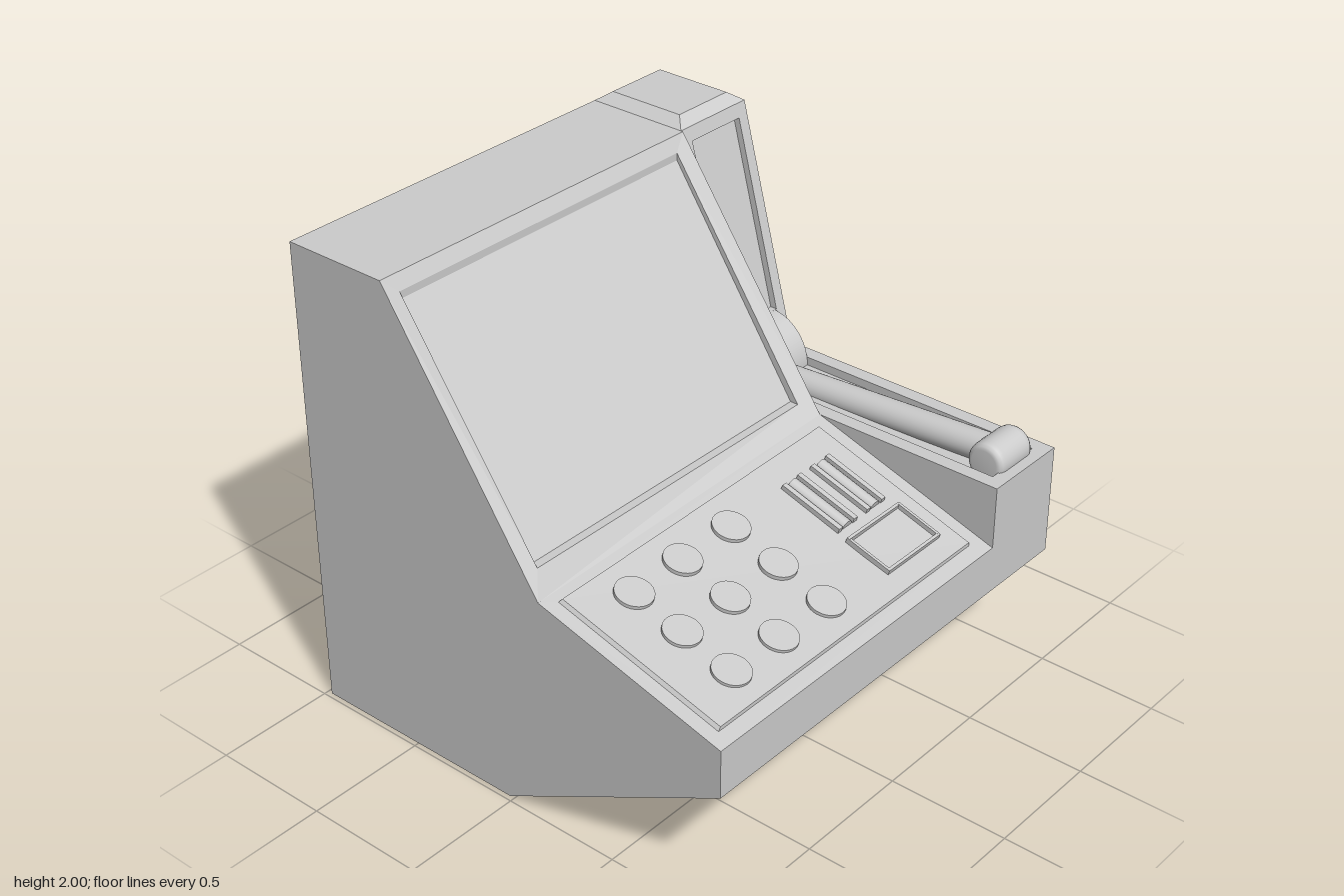
import * as THREE from 'three';

export function createModel() {
  const model = new THREE.Group();
  const gray = new THREE.MeshStandardMaterial({ color: 0xcccccc, side: THREE.DoubleSide });
  gray.name = 'light gray';

  const add = (name, geometry) => {
    const mesh = new THREE.Mesh(geometry, gray);
    mesh.name = name;
    model.add(mesh);
    return mesh;
  };

  // Flat surface stepping through four-cornered loops, closed on the last one
  const loops = (name, ...rings) => {
    const pos = [];
    const quad = (a, b, c, d) => pos.push(...a, ...b, ...c, ...a, ...c, ...d);
    for (let r = 0; r < rings.length - 1; r++) {
      for (let i = 0; i < 4; i++) {
        const j = (i + 1) % 4;
        quad(rings[r][i], rings[r][j], rings[r + 1][j], rings[r + 1][i]);
      }
    }
    quad(...rings[rings.length - 1]);
    const g = new THREE.BufferGeometry();
    g.setAttribute('position', new THREE.Float32BufferAttribute(pos, 3));
    g.computeVertexNormals();
    return add(name, g);
  };

  // Loop running across z between a back edge (x0, y0) and a front edge (x1, y1)
  const span = (x0, y0, x1, y1, zNear, zFar) =>
    [[x0, y0, zNear], [x1, y1, zNear], [x1, y1, zFar], [x0, y0, zFar]];

  // Flat upright wall in the xy plane
  const wall = (name, z, points, away) => {
    const g = new THREE.ShapeGeometry(new THREE.Shape(points.map(p => new THREE.Vector2(...p))));
    if (away) {
      const index = g.index.array;
      for (let i = 0; i < index.length; i += 3) [index[i], index[i + 1]] = [index[i + 1], index[i]];
      g.computeVertexNormals();
    }
    g.translate(0, 0, z);
    return add(name, g);
  };

  // Housing side walls
  const base = [[-0.98, 0], [-0.02, 0], [0.98, 0.525]];
  wall('leftSide', 0.98, [...base, [0.98, 0.725], [0.16, 0.95], [-0.53, 1.965], [-0.98, 1.965]]);
  wall('rightSide', -0.98, [...base, [0.98, 0.985], [-0.28, 0.985], [-0.54, 1.965], [-0.98, 1.965]], true);
  wall('screenFlank', -0.6, [[-0.28, 0.985], [0.16, 0.985], [-0.53, 1.965], [-0.54, 1.965]], true);
  wall('cradleFlank', -0.6, [[0.98, 0.725], [0.98, 0.985], [0.16, 0.985]]);

  // Housing top and front edge; the rear stays open
  loops('housingTop', span(-0.98, 1.965, -0.53, 1.965, 0.98, -0.6));
  loops('frontEdge', span(0.98, 0.725, 0.98, 0.525, 0.98, -0.6));
  loops('cradleFront', span(0.98, 0.985, 0.98, 0.525, -0.6, -0.98));

  // Raised sides of the underside, and the sloping floor between them
  for (const s of [1, -1]) {
    const [near, far] = s > 0 ? [0.98, 0.76] : [-0.76, -0.98];
    loops('footBottom', span(-0.02, 0, -0.98, 0, near, far));
    loops('footSlope', span(0.98, 0.525, -0.02, 0, near, far));
    wall('footInnerWall', s * 0.76, [...base, [-0.98, 0.16]], s > 0);
  }
  loops('floor', span(0.98, 0.525, -0.98, 0.16, 0.76, -0.76));

  // Sunken screen in its sloping surround
  loops('screen',
    [[-0.53, 1.965, 0.98], [0.16, 0.95, 0.98], [0.16, 0.985, -0.6], [-0.53, 1.965, -0.6]],
    span(-0.5, 1.91, 0.105, 1.04, 0.92, -0.53),
    span(-0.5, 1.88, 0.07, 1.04, 0.92, -0.53));

  // Handset column: bevelled cap and recessed front
  loops('columnCap',
    span(-0.98, 1.965, -0.54, 1.965, -0.6, -0.98),
    span(-0.93, 2, -0.59, 2, -0.65, -0.93));
  loops('columnFront',
    span(-0.54, 1.965, -0.28, 0.985, -0.6, -0.98),
    span(-0.525, 1.91, -0.321, 1.14, -0.65, -0.93),
    span(-0.55, 1.9, -0.35, 1.14, -0.65, -0.93));

  // Shallow handset tray
  loops('handsetTray',
    span(-0.28, 0.985, 0.98, 0.985, -0.6, -0.98),
    span(-0.26, 0.985, 0.92, 0.985, -0.66, -0.92),
    span(-0.26, 0.95, 0.92, 0.95, -0.66, -0.92));

  // Control panel surface, slightly twisted towards the handset side
  const panelY = (x, z) => {
    const hinge = 0.95 + 0.035 * (0.98 - z) / 1.58;
    return hinge + (0.725 - hinge) * (x - 0.16) / 0.82;
  };
  const panelLoop = (x0, x1, z0, z1, h) =>
    [[x0, z0], [x1, z0], [x1, z1], [x0, z1]].map(([x, z]) => [x, panelY(x, z) + h, z]);
  loops('controlPanel',
    panelLoop(0.16, 0.98, 0.98, -0.6, 0),
    panelLoop(0.2, 0.92, 0.92, -0.53, 0),
    panelLoop(0.21, 0.92, 0.91, -0.53, 0.015));

  const onPanel = (name, geometry, x, z, h = 0.018) => {
    const mesh = add(name, geometry);
    mesh.position.set(x, panelY(x, z) + h, z);
    mesh.rotation.z = Math.atan2(panelY(x + 0.1, z) - panelY(x, z), 0.1);
    return mesh;
  };

  // Round buttons
  for (const x of [0.345, 0.565, 0.785]) {
    for (const z of [0.16, 0.43, 0.69]) {
      onPanel('button', new THREE.CylinderGeometry(0.074, 0.074, 0.016, 32), x, z);
    }
  }

  // Two rounded slots between rails
  for (const z of [-0.375, -0.205]) {
    for (const s of [1, -1]) {
      onPanel('slotRail', new THREE.BoxGeometry(0.28, 0.03, 0.022), 0.465, z + s * 0.045);
    }
    const bar = new THREE.CylinderGeometry(0.028, 0.028, 0.27, 16).rotateZ(Math.PI / 2);
    onPanel('slotBar', bar, 0.465, z, 0.01);
  }

  // Square frame
  for (const s of [1, -1]) {
    onPanel('frameSide', new THREE.BoxGeometry(0.19, 0.03, 0.012), 0.74, -0.297 + s * 0.152);
    onPanel('frameEnd', new THREE.BoxGeometry(0.012, 0.03, 0.316), 0.74 + s * 0.092, -0.297);
  }

  // Rounded earpiece rest at the foot of the column
  const rest = new THREE.Shape();
  rest.moveTo(-0.33, 0.95);
  rest.lineTo(-0.15, 0.95);
  rest.absellipse(-0.33, 0.95, 0.18, 0.19, 0, Math.PI / 2, false, 0);
  rest.closePath();
  add('earpieceRest', new THREE.ExtrudeGeometry(rest, { depth: 0.26, bevelEnabled: false, curveSegments: 16 }))
    .position.z = -0.92;

  // Handset grip
  const start = new THREE.Vector3(-0.22, 0.94, -0.795);
  const end = new THREE.Vector3(0.84, 1.002, -0.795);
  const axis = end.clone().sub(start);
  const grip = add('handsetGrip', new THREE.CylinderGeometry(0.06, 0.06, axis.length(), 32));
  grip.position.copy(start).add(end).multiplyScalar(0.5);
  grip.quaternion.setFromUnitVectors(new THREE.Vector3(0, 1, 0), axis.normalize());

  // Handset mouthpiece with softened rims
  const profile = [[0, -0.105], [0.055, -0.105], [0.07, -0.1], [0.077, -0.088],
    [0.08, -0.07], [0.08, 0.07], [0.077, 0.088], [0.07, 0.1], [0.055, 0.105], [0, 0.105]];
  const mouth = new THREE.LatheGeometry(profile.map(p => new THREE.Vector2(...p)), 32);
  add('handsetMouthpiece', mouth.rotateX(Math.PI / 2)).position.set(0.857, 1.0, -0.795);

  return model;
}
